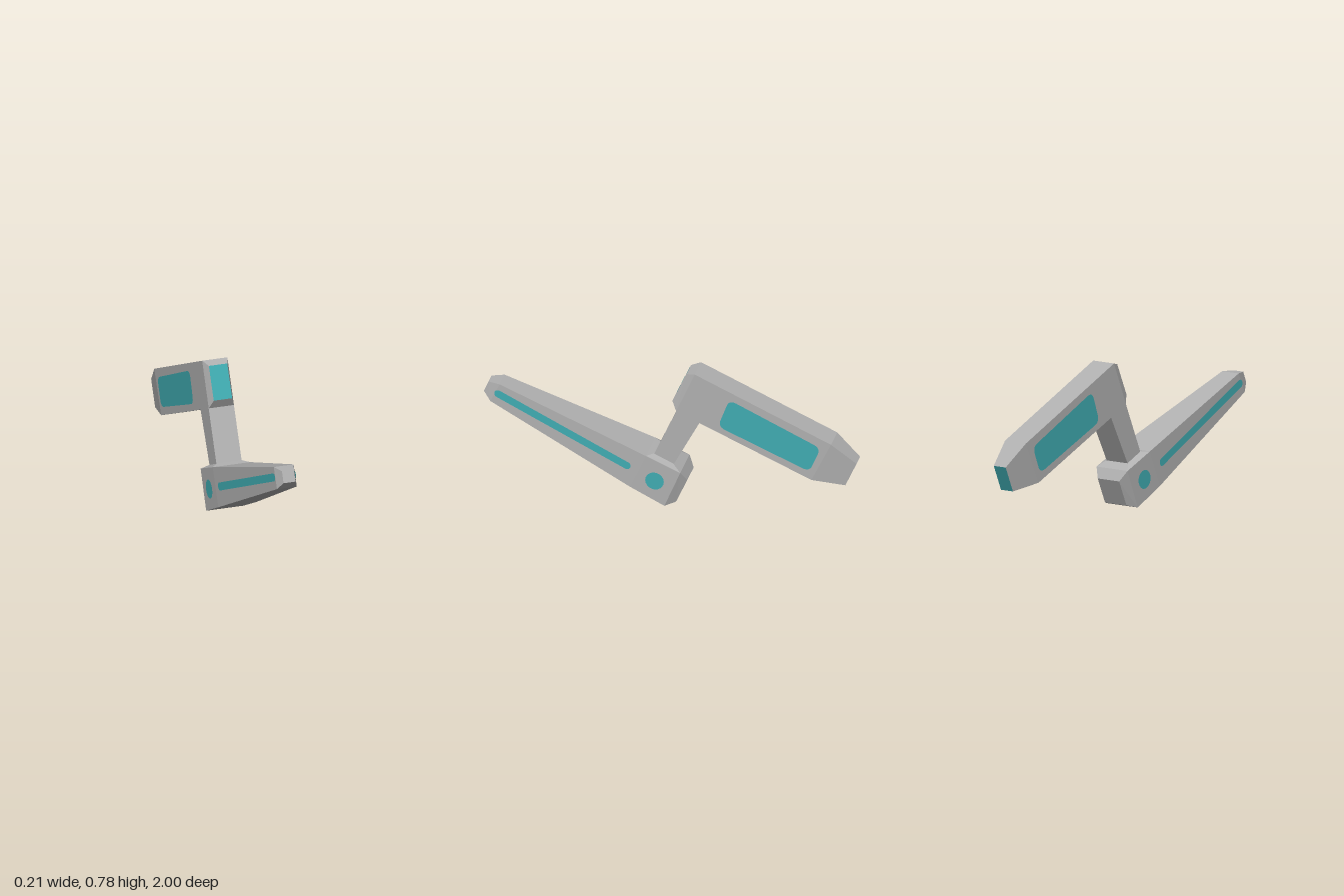
import * as THREE from 'three';

const grey = new THREE.MeshStandardMaterial({ color: 0xb0b0b0 });
grey.name = 'grey shell';
const teal = new THREE.MeshStandardMaterial({ color: 0x40abb1, side: THREE.DoubleSide });
teal.name = 'teal panel';

// Lofts four-cornered sections [zA, yA, zB, yB, halfWidth].
// Groups: 0 = sides, 1 = first cap, 2 = last cap.
function loft(sections) {
  const rings = sections.map(([za, ya, zb, yb, w]) =>
    [[-w, ya, za], [-w, yb, zb], [w, yb, zb], [w, ya, za]]);
  const pos = [];
  const quad = (a, b, c, d) => pos.push(...a, ...b, ...c, ...a, ...c, ...d);
  for (let i = 0; i + 1 < rings.length; i++) {
    for (let j = 0; j < 4; j++) {
      const k = (j + 1) % 4;
      quad(rings[i][k], rings[i][j], rings[i + 1][j], rings[i + 1][k]);
    }
  }
  const sides = pos.length / 3;
  quad(...rings[0]);
  quad(...rings[rings.length - 1].slice().reverse());
  const g = new THREE.BufferGeometry();
  g.setAttribute('position', new THREE.Float32BufferAttribute(pos, 3));
  g.addGroup(0, sides, 0);
  g.addGroup(sides, 6, 1);
  g.addGroup(sides + 6, 6, 2);
  g.computeVertexNormals();
  return g;
}

// Half width of the tapering lower arm at a point of its side
function armSide(z, y) {
  return 0.104 - Math.max(0, z + 0.45 * y - 0.242) * (0.049 / 0.93);
}

// Rounded outline through corner points, each corner cut by a curve of radius r
function roundedShape(points, r) {
  const p = points.map(([z, y]) => new THREE.Vector2(z, y));
  const shape = new THREE.Shape();
  p.forEach((c, i) => {
    const prev = p[(i + p.length - 1) % p.length], next = p[(i + 1) % p.length];
    const a = c.clone().add(prev.clone().sub(c).setLength(r));
    const b = c.clone().add(next.clone().sub(c).setLength(r));
    if (i === 0) shape.moveTo(a.x, a.y);
    else shape.lineTo(a.x, a.y);
    shape.quadraticCurveTo(c.x, c.y, b.x, b.y);
  });
  shape.closePath();
  return shape;
}

// Thin inlay on both sides; shape is drawn in (z, y), width(z, y) gives |x|
function addInlays(group, name, shape, width) {
  for (const side of [1, -1]) {
    const g = new THREE.ShapeGeometry(shape, 10);
    const p = g.attributes.position;
    for (let i = 0; i < p.count; i++) {
      const z = p.getX(i), y = p.getY(i);
      p.setXYZ(i, side * (width(z, y) + 0.003), y, z);
    }
    if (side > 0) g.index.array.reverse();
    g.computeVertexNormals();
    const mesh = new THREE.Mesh(g, teal);
    mesh.name = (side > 0 ? 'left ' : 'right ') + name;
    group.add(mesh);
  }
}

export function createModel() {
  const model = new THREE.Group();
  model.name = 'folded arm';
  const add = (name, sections, capA = grey, capB = grey) => {
    const mesh = new THREE.Mesh(loft(sections), [grey, capA, capB]);
    mesh.name = name;
    model.add(mesh);
  };

  // Lower arm, tip to rear
  add('lowerArm', [
    [0.975, 0.578, 1.0, 0.52, 0.033],
    [0.91, 0.58, 0.96, 0.475, 0.055],
    [0.115, 0.283, 0.2, 0.09, 0.104],
    [-0.07, 0.205, 0.015, 0, 0.104],
    [-0.1, 0.15, -0.04, 0.015, 0.072],
  ]);

  // Raised collar on the arm, and the neck rising from it (top to bottom)
  add('neckCollar', [
    [-0.025, 0.238, 0.08, 0.285, 0.071],
    [-0.07, 0.205, 0.115, 0.283, 0.104],
  ]);
  add('neck', [
    [-0.165, 0.497, -0.042, 0.552, 0.07],
    [-0.025, 0.23, 0.08, 0.277, 0.07],
  ]);

  // Upper head with teal end faces
  add('head', [
    [-0.09, 0.767, -0.015, 0.6, 0.051],
    [-0.14, 0.78, -0.04, 0.55, 0.07],
    [-0.87, 0.457, -0.765, 0.235, 0.07],
    [-1.0, 0.345, -0.94, 0.21, 0.04],
  ], teal, teal);

  // Side inlays
  addInlays(model, 'headPanel', roundedShape(
    [[-0.325, 0.655], [-0.265, 0.49], [-0.755, 0.285], [-0.815, 0.43]], 0.04), () => 0.07);

  const [z0, y0, z1, y1, r] = [0.917, 0.525, 0.217, 0.213, 0.021];
  const angle = Math.atan2(y0 - y1, z0 - z1);
  const stripe = new THREE.Shape();
  stripe.absarc(z0, y0, r, angle - Math.PI / 2, angle + Math.PI / 2, false);
  stripe.absarc(z1, y1, r, angle + Math.PI / 2, angle + Math.PI * 1.5, false);
  addInlays(model, 'armStripe', stripe, armSide);

  const disc = new THREE.Shape();
  disc.absarc(0.067, 0.142, 0.05, 0, Math.PI * 2, false);
  addInlays(model, 'pivotDisc', disc, armSide);

  return model;
}
